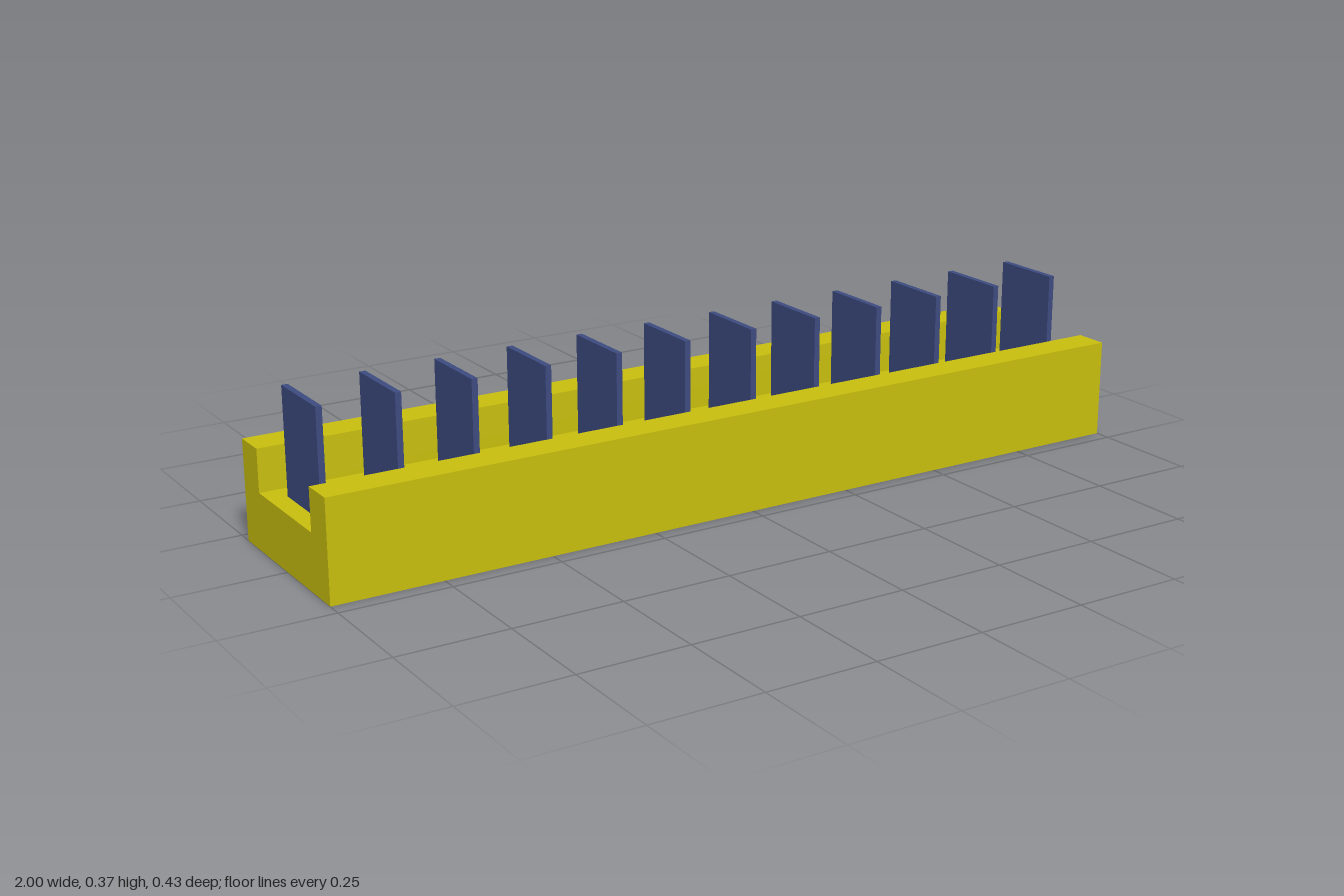
import * as THREE from 'three';

export function createModel() {
  const model = new THREE.Group();
  const yellow = new THREE.MeshStandardMaterial({ color: 0xc8be0e });
  const blue = new THREE.MeshStandardMaterial({ color: 0x3d4a80 });

  // U-shaped trough: cross-section drawn with shape x = -z, swept along x
  const section = new THREE.Shape([
    [-0.213, 0], [0.213, 0], [0.213, 0.228], [0.134, 0.228],
    [0.134, 0.131], [-0.136, 0.131], [-0.136, 0.228], [-0.213, 0.228],
  ].map(([x, y]) => new THREE.Vector2(x, y)));
  const troughGeometry = new THREE.ExtrudeGeometry(section, { depth: 2, bevelEnabled: false });
  troughGeometry.translate(0, 0, -1).rotateY(Math.PI / 2);
  const trough = new THREE.Mesh(troughGeometry, yellow);
  trough.name = 'trough';
  model.add(trough);

  // Row of thin upright plates standing on the trough floor
  const plates = new THREE.Group();
  plates.name = 'plates';
  const plateGeometry = new THREE.BoxGeometry(0.014, 0.241, 0.172);
  for (let i = 0; i < 12; i++) {
    const plate = new THREE.Mesh(plateGeometry, blue);
    plate.name = `plate${i + 1}`;
    plate.position.set(-0.951 + i * 0.172, 0.2515, 0.003);
    plates.add(plate);
  }
  model.add(plates);

  return model;
}
